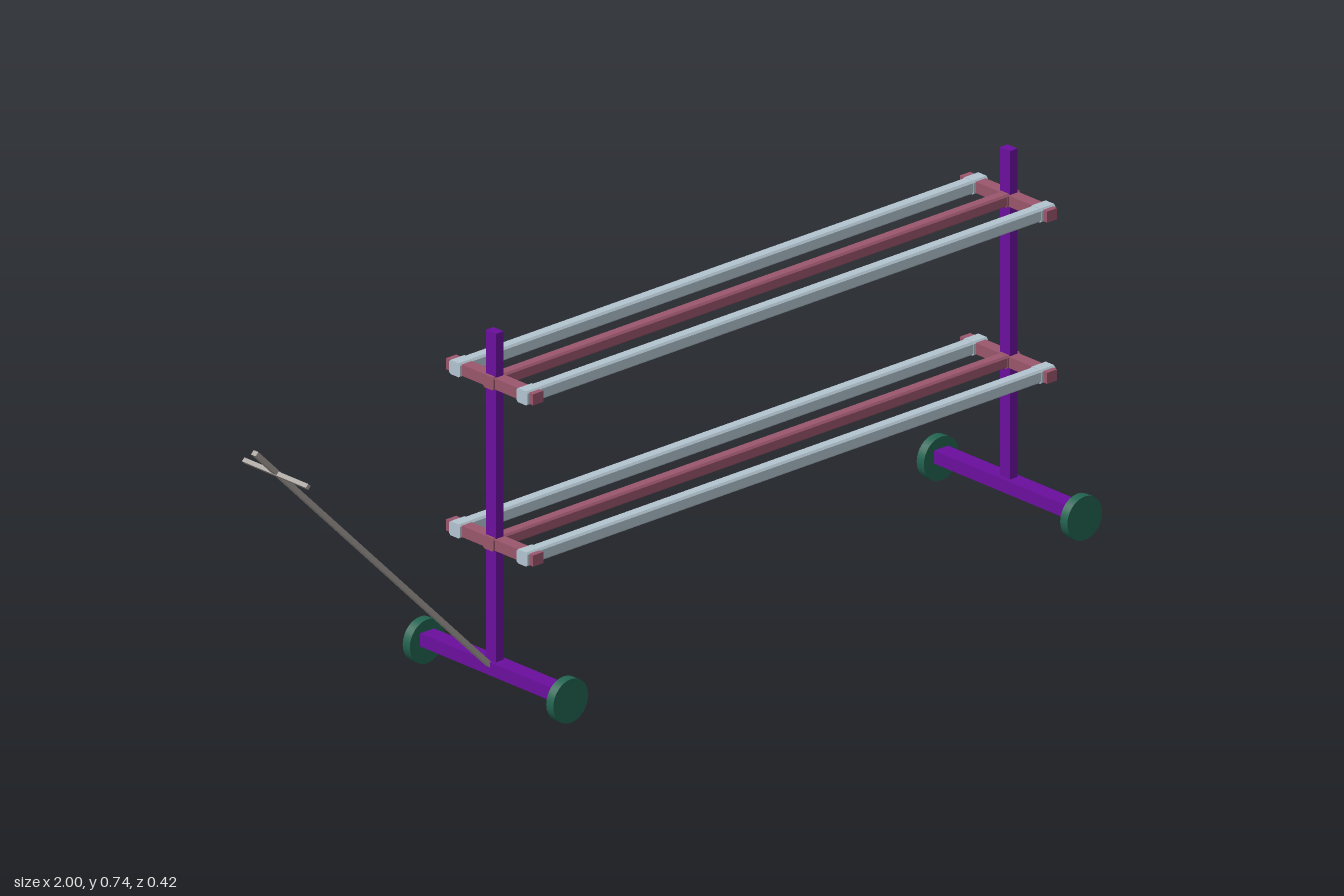
import * as THREE from 'three';

const mat = (name, color) => {
  const m = new THREE.MeshStandardMaterial({ color });
  m.name = name;
  return m;
};

export function createModel() {
  const purple = mat('purple frame', 0x6a0f9c);
  const rose = mat('rose bar', 0x9a566c);
  const steel = mat('pale steel rail', 0xb2c4d0);
  const green = mat('green wheel', 0x226350);
  const grey = mat('grey handle', 0xa39c98);

  const model = new THREE.Group();
  model.name = 'shelfTrolley';

  const add = (name, geometry, material, x, y, z) => {
    const mesh = new THREE.Mesh(geometry, material);
    mesh.name = name;
    mesh.position.set(x, y, z);
    model.add(mesh);
    return mesh;
  };
  const box = (name, material, size, x, y, z) =>
    add(name, new THREE.BoxGeometry(...size), material, x, y, z);

  // Bar along x with chamfered long edges
  const chamferedBar = (name, material, length, h, w, x, y, z) => {
    const a = w / 2, b = h / 2, c = 0.004;
    const shape = new THREE.Shape([
      [-a + c, -b], [a - c, -b], [a, -b + c], [a, b - c],
      [a - c, b], [-a + c, b], [-a, b - c], [-a, -b + c],
    ].map(p => new THREE.Vector2(...p)));
    const g = new THREE.ExtrudeGeometry(shape, { depth: length, bevelEnabled: false });
    g.translate(0, 0, -length / 2).rotateY(Math.PI / 2);
    return add(name, g, material, x, y, z);
  };

  const ends = [-0.375, 0.955];
  const levels = [0.309, 0.641];
  const midX = 0.287;
  const midZ = -0.002;

  // End frames: axle, post and a pair of wheels
  for (const x of ends) {
    box('axle', purple, [0.036, 0.027, 0.386], x, 0.053, 0);
    box('post', purple, [0.02, 0.69, 0.028], x, 0.398, midZ);
    for (const side of [-1, 1]) {
      const wheel = new THREE.CylinderGeometry(0.045, 0.045, 0.02, 32).rotateX(Math.PI / 2);
      add('wheel', wheel, green, x, 0.045, side * 0.201);
    }
  }

  // Shelves: cross arms, rails and the sleeves that join them
  for (const y of levels) {
    for (const x of ends) {
      box('crossArm', rose, [0.026, 0.023, 0.244], x, y, midZ);
      chamferedBar('centreSleeve', rose, 0.033, 0.027, 0.03, x, y, midZ);
      for (const z of [-0.095, 0.094]) {
        chamferedBar('railSleeve', steel, 0.036, 0.029, 0.031, x, y, z);
      }
    }
    chamferedBar('centreRail', rose, 1.33, 0.025, 0.026, midX + 0.003, y, midZ);
    for (const z of [-0.095, 0.094]) {
      chamferedBar('sideRail', steel, 1.36, 0.027, 0.027, midX + 0.003, y, z);
    }
  }

  // Slanted pull handle with a grip across it
  const low = new THREE.Vector2(-0.38, 0.05);
  const high = new THREE.Vector2(-0.996, 0.666);
  const mid = low.clone().add(high).multiplyScalar(0.5);
  const rod = box('handleRod', grey, [0.01, low.distanceTo(high), 0.013], mid.x, mid.y, midZ);
  rod.rotation.z = Math.PI / 4;
  const grip = box('handleGrip', grey, [0.009, 0.009, 0.179], -0.94, 0.608, midZ);
  grip.rotation.z = Math.PI / 4;

  return model;
}
